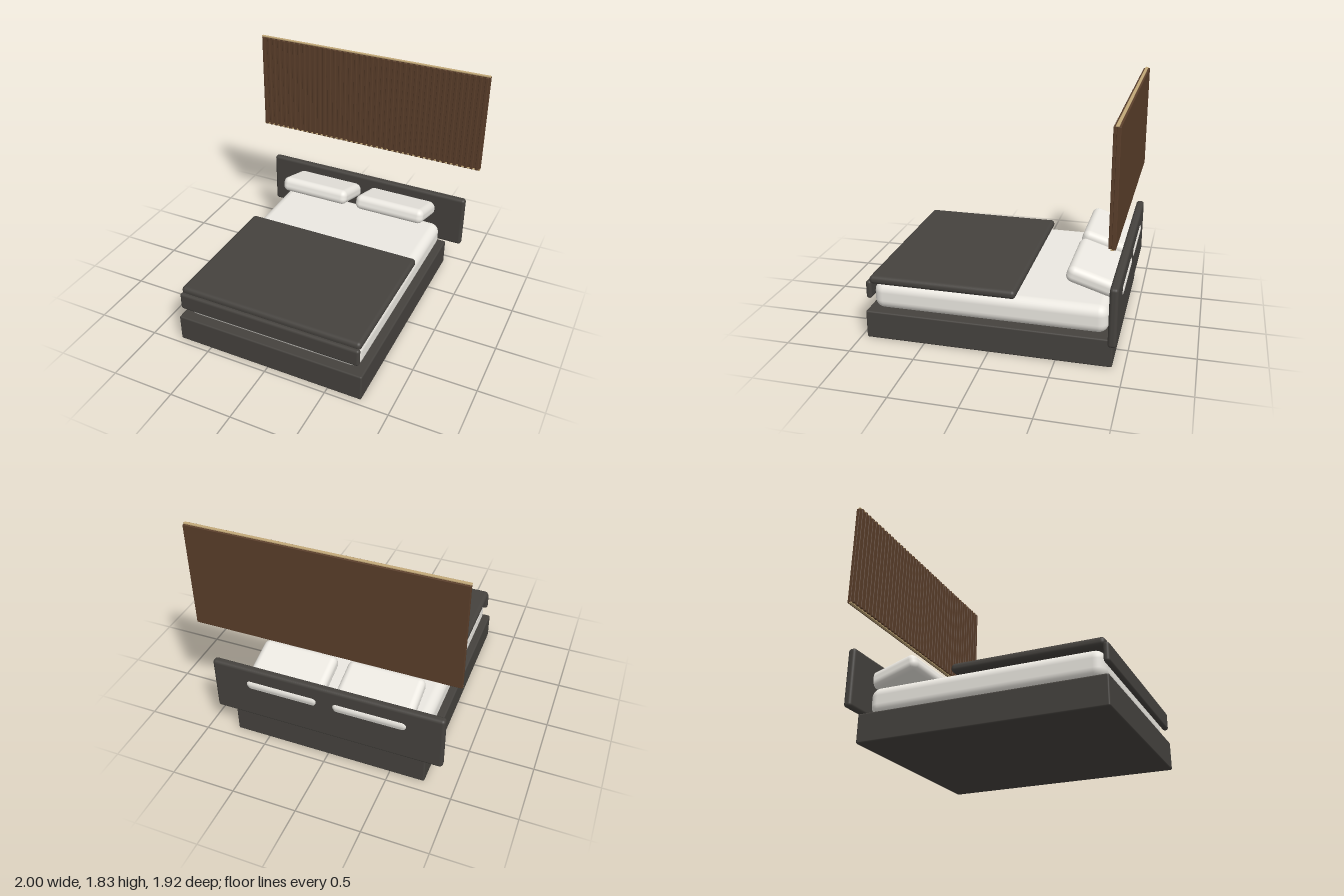
import * as THREE from 'three';
import { RoundedBoxGeometry } from 'three/addons/geometries/RoundedBoxGeometry.js';

const paint = (color) => new THREE.MeshStandardMaterial({ color });

export function createModel() {
  const model = new THREE.Group();
  const charcoal = paint(0x45423e), linen = paint(0xebe8e1);
  const walnut = paint(0x5a3e2a), brass = paint(0xc2a878);

  // Rounded block given by its extents on each axis
  function block(name, material, [x0, x1], [y0, y1], [z0, z1], radius, parent = model) {
    const geometry = new RoundedBoxGeometry(x1 - x0, y1 - y0, z1 - z0, 4, radius);
    const mesh = new THREE.Mesh(geometry, material);
    mesh.position.set((x0 + x1) / 2, (y0 + y1) / 2, (z0 + z1) / 2);
    mesh.name = name;
    parent.add(mesh);
    return mesh;
  }

  // Bed
  block('bedBase', charcoal, [-0.77, 0.77], [0, 0.22], [-0.913, 0.955], 0.012);
  block('mattress', linen, [-0.725, 0.725], [0.22, 0.435], [-0.867, 0.91], 0.075);
  block('blanketTop', charcoal, [-0.743, 0.743], [0.432, 0.498], [-0.195, 0.93], 0.03);
  block('blanketDrop', charcoal, [-0.743, 0.743], [0.312, 0.455], [0.913, 0.957], 0.02);
  block('headboard', charcoal, [-0.907, 0.907], [0.232, 0.683], [-0.95, -0.888], 0.024);

  // Pillows leaning through the headboard, front edge raised
  for (const side of [-1, 1]) {
    const pillow = block(side < 0 ? 'rightPillow' : 'leftPillow', linen,
      [side * 0.347 - 0.303, side * 0.347 + 0.303], [0.515, 0.64], [-0.963, -0.536], 0.05);
    pillow.rotation.x = -0.3;
  }

  // Slatted wall panel above the bed
  const panel = new THREE.Group();
  panel.name = 'wallPanel';
  model.add(panel);
  block('panelBack', walnut, [-1, 1], [1.005, 1.825], [-0.928, -0.9], 0.004, panel);
  const count = 42, pitch = 2 / count, half = 0.0125;
  for (let i = 0; i < count; i++) {
    const x = -1 + (i + 0.5) * pitch;
    block('slat', walnut, [x - half, x + half], [1.007, 1.823], [-0.902, -0.877], 0.005, panel);
  }
  for (const y of [1.0, 1.822]) {
    block('trim', brass, [-1, 1], [y, y + 0.011], [-0.915, -0.893], 0.003, panel);
  }
  return model;
}
